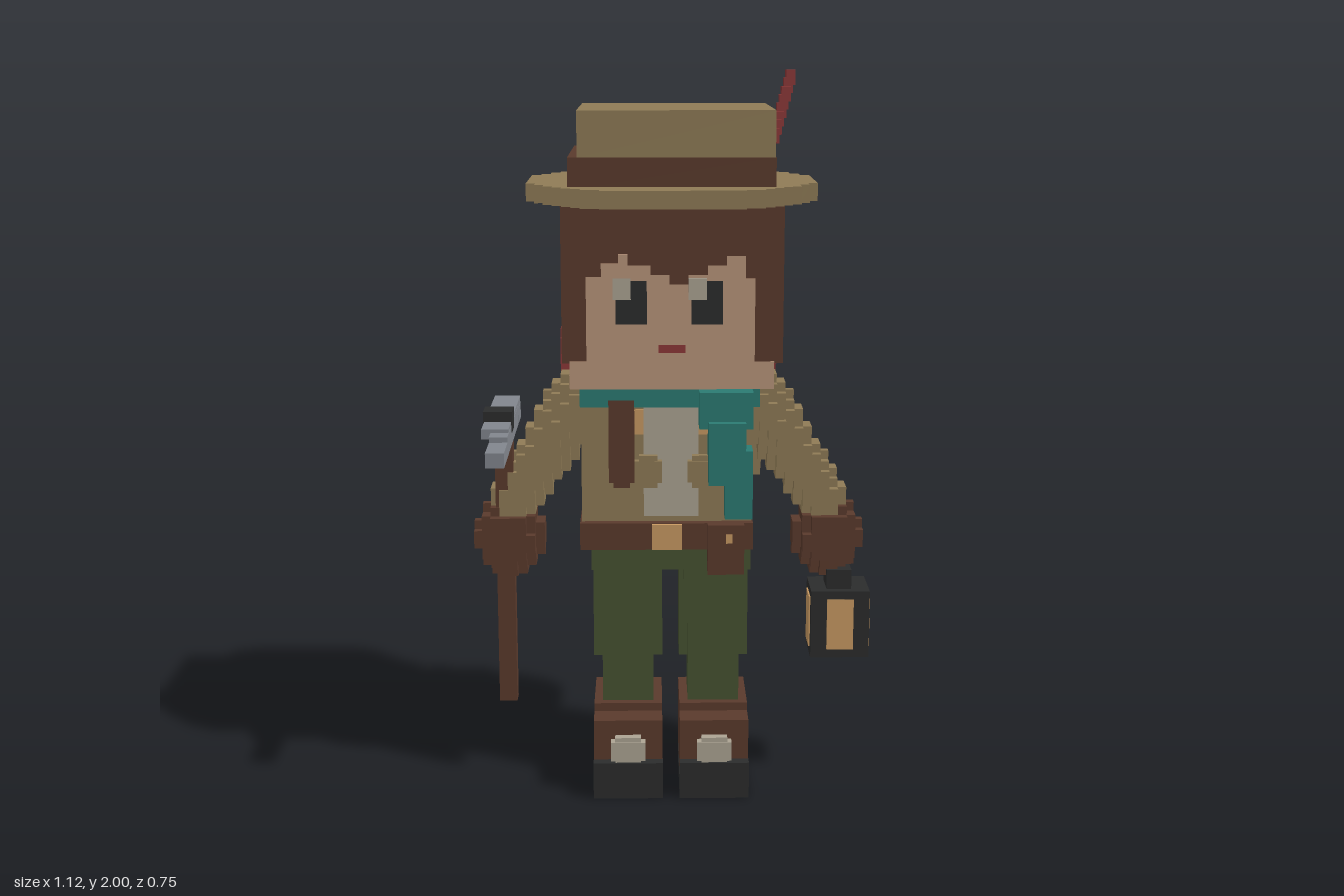
import * as THREE from 'three';
import { mergeGeometries } from 'three/addons/utils/BufferGeometryUtils.js';

const V = 0.025; // voxel edge

export function createModel() {
  const root = new THREE.Group();
  root.name = 'explorer';
  const mat = (name, color) => {
    const m = new THREE.MeshStandardMaterial({ color });
    m.name = name;
    return m;
  };
  const tan = mat('tan cloth', 0x8f7b56), brown = mat('brown leather', 0x5a3a2c), skin = mat('skin', 0xb9957b);
  const teal = mat('teal scarf', 0x2b7b73), green = mat('green trousers', 0x475231), red = mat('red wool', 0x8c3737);
  const black = mat('black', 0x2b2c2c), steel = mat('steel', 0x82868d), cream = mat('cream', 0xaca493), amber = mat('amber', 0xc99a62);

  const add = (name, geometry, material) => {
    const mesh = new THREE.Mesh(geometry, material);
    mesh.name = name;
    root.add(mesh);
    return mesh;
  };
  // box from its limits
  const box = (name, m, x0, x1, y0, y1, z0, z1) => {
    const g = new THREE.BoxGeometry(x1 - x0, y1 - y0, z1 - z0);
    g.translate((x0 + x1) / 2, (y0 + y1) / 2, (z0 + z1) / 2);
    return add(name, g, m);
  };
  // stepped solid: outer faces of all voxels whose centre satisfies the rule
  const sides = [
    [1, 0, 0, 0, Math.PI / 2], [-1, 0, 0, 0, -Math.PI / 2], [0, 1, 0, -Math.PI / 2, 0],
    [0, -1, 0, Math.PI / 2, 0], [0, 0, 1, 0, 0], [0, 0, -1, 0, Math.PI],
  ].map(([x, y, z, rx, ry]) => {
    const g = new THREE.PlaneGeometry(V, V);
    g.rotateX(rx).rotateY(ry).translate(x * V / 2, y * V / 2, z * V / 2);
    return { x, y, z, g };
  });
  const voxels = (name, m, [x0, x1, y0, y1, z0, z1], inside) => {
    const faces = [];
    const test = (x, y, z) => x > x0 && x < x1 && y > y0 && y < y1 && z > z0 && z < z1 && inside(x, y, z);
    for (let x = x0 + V / 2; x < x1; x += V)
      for (let y = y0 + V / 2; y < y1; y += V)
        for (let z = z0 + V / 2; z < z1; z += V) {
          if (!test(x, y, z)) continue;
          for (const s of sides)
            if (!test(x + s.x * V, y + s.y * V, z + s.z * V)) faces.push(s.g.clone().translate(x, y, z));
        }
    return add(name, mergeGeometries(faces), m);
  };
  // rule for a tapered round limb between two points
  const limb = (a, b, ra, rb) => {
    const A = new THREE.Vector3(...a), d = new THREE.Vector3(...b).sub(A), p = new THREE.Vector3();
    return (x, y, z) => {
      p.set(x, y, z).sub(A);
      const t = THREE.MathUtils.clamp(p.dot(d) / d.lengthSq(), 0, 1);
      return p.addScaledVector(d, -t).length() < ra + (rb - ra) * t;
    };
  };

  // hat
  box('hatCrown', tan, -0.26, 0.255, 1.785, 1.905, -0.205, 0.255);
  box('hatBand', brown, -0.285, 0.257, 1.7, 1.785, -0.23, 0.257);
  const brim = voxels('hatBrim', tan, [-0.4, 0.375, 0, V, -0.355, 0.37],
    (x, y, z) => Math.hypot(x + 0.0125, z - 0.0075) < 0.402);
  brim.scale.y = 1.9;
  brim.position.y = 1.662;
  for (let i = 0; i < 8; i++) {
    const x = 0.25 + i * 0.0072, y = 1.81 + i * 0.0215, z = 0.072 - i * 0.018;
    box('feather', red, x, x + 0.025, y, y + 0.04, z - 0.018, z + 0.022);
  }

  // head
  box('hair', brown, -0.305, 0.28, 1.245, 1.67, -0.23, 0.255);
  box('jaw', skin, -0.285, 0.257, 1.175, 1.25, -0.205, 0.256);
  const face = new THREE.Shape([
    [-0.24, 1.24], [0.205, 1.24], [0.205, 1.47], [0.18, 1.47], [0.18, 1.53], [0.13, 1.53], [0.13, 1.505],
    [0.08, 1.505], [0.08, 1.48], [0.03, 1.48], [0.03, 1.455], [-0.02, 1.455], [-0.02, 1.48], [-0.07, 1.48],
    [-0.07, 1.505], [-0.13, 1.505], [-0.13, 1.535], [-0.155, 1.535], [-0.155, 1.51], [-0.2, 1.51],
    [-0.2, 1.475], [-0.24, 1.475],
  ].map(p => new THREE.Vector2(...p)));
  add('face', new THREE.ExtrudeGeometry(face, { depth: 0.005, bevelEnabled: false }), skin).position.z = 0.253;
  for (const x of [-0.162, 0.038]) {
    box('eye', black, x, x + 0.082, 1.35, 1.465, 0.256, 0.261);
    box('eyeGlint', cream, x - 0.008, x + 0.04, 1.415, 1.472, 0.257, 0.263);
  }
  box('mouth', red, -0.05, 0.022, 1.274, 1.295, 0.256, 0.261);
  voxels('ponytail', brown, [-0.12, 0.105, 1.2, 1.575, -0.38, -0.205],
    (x, y, z) => {
      const t = (y - 1.385) / 0.195, c = -0.295 + (y - 1.385) * 0.3;
      return ((x + 0.0075) / 0.095) ** 2 + ((z - c) / 0.085) ** 2 + t * t < 1;
    });

  // torso and clothing
  box('jacket', tan, -0.26, 0.205, 0.75, 1.18, -0.135, 0.155);
  box('shirt', cream, -0.09, 0.06, 0.8, 1.11, 0.15, 0.159);
  for (const [a, b] of [[-0.12, -0.09], [0.06, 0.09]]) box('shirtEdge', amber, a, b, 1.03, 1.1, 0.15, 0.159);
  for (const [a, b] of [[-0.115, -0.04], [0.03, 0.105]]) {
    box('pocket', tan, a, b, 0.9, 0.96, 0.15, 0.18);
    box('pocketMiddle', tan, a + 0.012, b - 0.012, 0.885, 0.975, 0.15, 0.178);
  }
  box('packStrap', brown, -0.185, -0.115, 0.9, 1.13, 0.15, 0.18);
  box('packStrapMiddle', brown, -0.172, -0.128, 0.885, 1.145, 0.15, 0.178);
  box('scarfCollar', teal, -0.262, 0.225, 1.11, 1.178, -0.155, 0.18);
  box('scarfKnot', teal, 0.06, 0.205, 1.06, 1.16, 0.15, 0.23);
  box('scarfTail', teal, 0.085, 0.185, 0.91, 1.08, 0.15, 0.255);
  box('scarfTailEnd', teal, 0.13, 0.205, 0.81, 1.0, 0.16, 0.235);
  box('belt', brown, -0.265, 0.21, 0.71, 0.785, -0.155, 0.18);
  box('beltPouch', brown, 0.085, 0.185, 0.645, 0.785, 0.15, 0.205);
  box('buckle', amber, -0.068, 0.015, 0.712, 0.783, 0.17, 0.189);
  box('pouchButton', amber, 0.135, 0.152, 0.735, 0.76, 0.2, 0.21);

  // legs and boots
  box('hips', green, -0.235, 0.205, 0.645, 0.71, -0.135, 0.155);
  for (const s of [-1, 1]) {
    const c = -0.0155 + s * 0.1205;
    box('seatFold', green, c - 0.085, c + 0.085, 0.6, 0.66, -0.11, 0.13);
    box('thigh', green, c - 0.097, c + 0.097, 0.37, 0.66, -0.035, 0.08);
    box('leg', green, c - 0.072, c + 0.072, 0.2, 0.66, -0.06, 0.105);
    box('thighFold', green, c - 0.085, c + 0.085, 0.42, 0.64, -0.05, 0.095);
    box('bootSole', black, c - 0.097, c + 0.097, 0, 0.045, -0.08, 0.235);
    box('bootToe', black, c - 0.097, c + 0.097, 0.03, 0.105, 0.2, 0.235);
    box('bootFoot', brown, c - 0.096, c + 0.096, 0.045, 0.22, -0.08, 0.205);
    box('bootCuff', brown, c - 0.096, c + 0.096, 0.2, 0.243, -0.08, 0.13);
    box('bootPatch', cream, c - 0.048, c + 0.048, 0.11, 0.165, 0.19, 0.232);
    box('bootPatchMiddle', cream, c - 0.036, c + 0.036, 0.1, 0.178, 0.19, 0.23);
  }

  // arms and gloves
  for (const s of [-1, 1]) {
    const o = -0.02;
    const range = s > 0 ? [0.155, 0.53] : [-0.57, -0.195];
    voxels('arm', tan, [...range, 0.75, 1.175, -0.11, 0.115],
      limb([o + s * 0.25, 1.1, 0], [o + s * 0.435, 0.81, 0], 0.085, 0.066));
    const gx = o + s * 0.447;
    voxels('glove', brown, [...range, 0.6, 0.825, -0.11, 0.115],
      (x, y, z) => ((x - gx) / 0.095) ** 2 + ((y - 0.708) / 0.115) ** 2 + ((z - 0.003) / 0.1) ** 2 < 1);
  }

  // lantern: dark core with glowing panes
  box('lantern', black, 0.38, 0.545, 0.37, 0.565, -0.035, 0.11);
  box('lanternHandle', black, 0.425, 0.495, 0.56, 0.62, 0, 0.085);
  for (const z of [-0.035, 0.11]) box('lanternPane', amber, 0.425, 0.5, 0.395, 0.542, z - 0.004, z + 0.004);
  for (const x of [0.38, 0.545]) box('lanternPane', amber, x - 0.004, x + 0.004, 0.395, 0.542, 0, 0.085);

  // pickaxe
  box('pickHandle', brown, -0.505, -0.455, 0.225, 1.01, 0.01, 0.06);
  box('pickHead', steel, -0.53, -0.456, 1.022, 1.05, -0.285, 0.18);
  box('pickHeadUnder', steel, -0.505, -0.455, 0.985, 1.04, -0.185, 0.23);
  box('pickTip', steel, -0.505, -0.455, 0.985, 1.025, 0.2, 0.355);
  box('pickRear', steel, -0.505, -0.455, 0.985, 1.03, -0.285, -0.2);
  box('pickCap', black, -0.533, -0.453, 1.02, 1.078, 0.01, 0.085);

  // backpack with bedroll and rope coil
  box('backpack', brown, -0.235, 0.205, 0.765, 1.11, -0.355, -0.13);
  box('backpackPocket', brown, -0.16, 0.13, 0.806, 0.98, -0.38, -0.35);
  voxels('bedroll', red, [-0.33, 0.295, 1.1125, 1.2875, -0.3375, -0.1625],
    (x, y, z) => Math.hypot(y - 1.2, z + 0.25) < (x < -0.305 || x > 0.27 ? 0.06 : 0.078));
  for (const x of [-0.16, 0.135]) {
    box('bedrollStrap', cream, x - 0.025, x + 0.025, 1.105, 1.295, -0.315, -0.175);
    box('bedrollStrapBack', cream, x - 0.025, x + 0.025, 1.13, 1.27, -0.345, -0.165);
  }
  voxels('ropeCoil', tan, [0.2, 0.25, 0.8325, 1.0575, -0.3575, -0.1325],
    (x, y, z) => {
      const r = Math.hypot(y - 0.945, z + 0.245);
      return r < 0.112 && r > 0.06;
    });

  return root;
}
